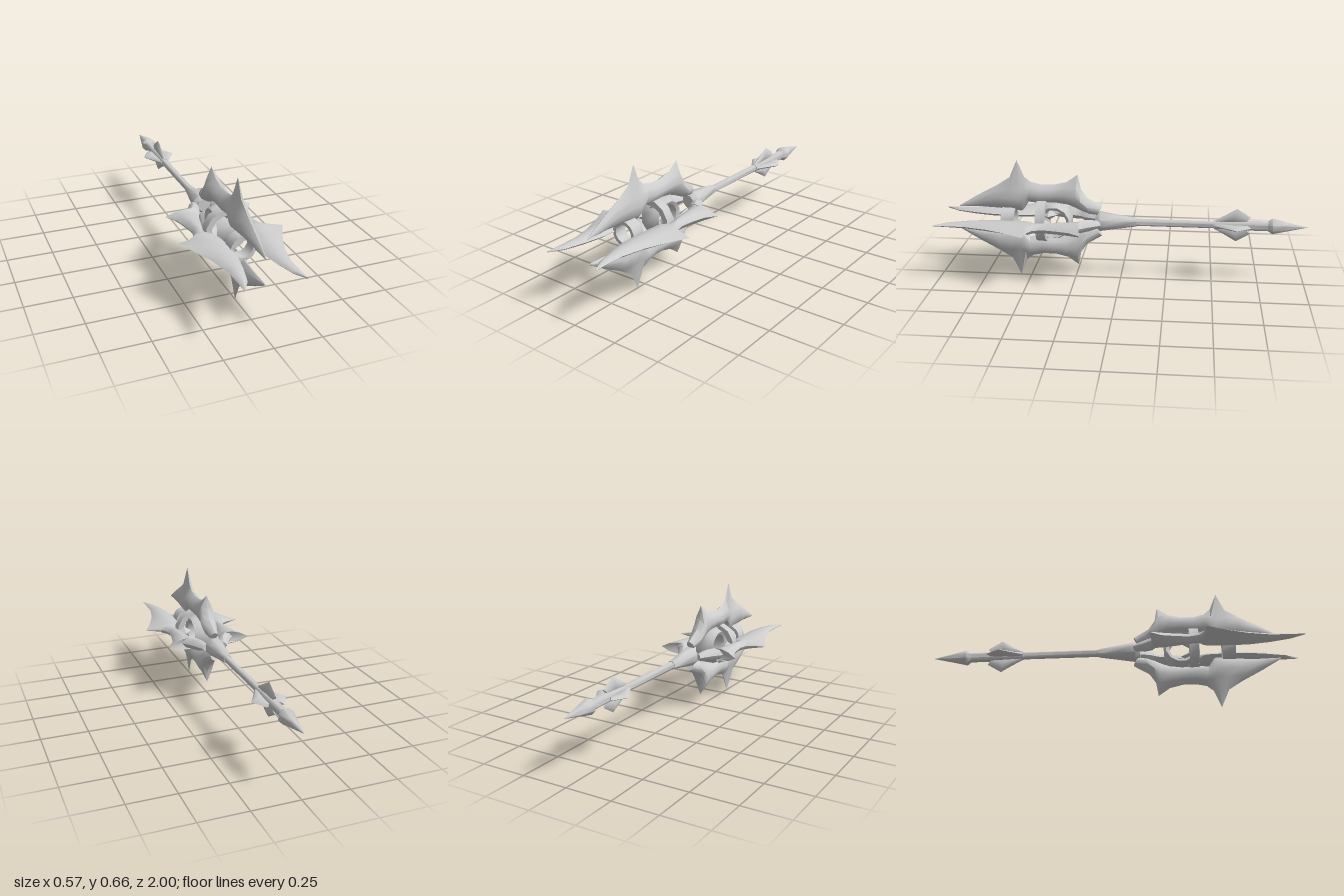
import * as THREE from 'three';
import { toCreasedNormals } from 'three/addons/utils/BufferGeometryUtils.js';

const AXIS_Y = 0.335;

// Loft of rounded sections; each station is [zOuter, rOuter, zInner, rInner, halfWidth].
function bladeGeometry(stations) {
  const pos = [], idx = [], n = 8;
  for (const [zo, ro, zi, ri, w] of stations) {
    const body = Math.min(ro - ri, 0.15);
    const side = [[0, ro], [w * 0.72, ri + body * 0.8], [w, ri + body * 0.5], [w * 0.75, ri + body * 0.2], [0, ri]];
    const loop = [...side, ...side.slice(1, 4).reverse().map(([x, r]) => [-x, r])];
    for (const [x, r] of loop) {
      const t = (r - ri) / (ro - ri);
      pos.push(x, r, zi + (zo - zi) * t);
    }
  }
  const last = (stations.length - 1) * n;
  for (let s = 0; s < last; s += n) {
    for (let j = 0; j < n; j++) {
      const k = (j + 1) % n;
      idx.push(s + j, s + k, s + n + j, s + k, s + n + k, s + n + j);
    }
  }
  for (let j = 1; j < n - 1; j++) idx.push(0, j + 1, j, last, last + j, last + j + 1);
  const g = new THREE.BufferGeometry();
  g.setAttribute('position', new THREE.Float32BufferAttribute(pos, 3));
  g.setIndex(idx);
  return toCreasedNormals(g, 0.8);
}

// Turned solid along +z from [radius, z] pairs in rising z.
function turned(profile, sides) {
  const g = new THREE.LatheGeometry(profile.map(([r, z]) => new THREE.Vector2(r, z)), sides, Math.PI / sides);
  g.rotateX(Math.PI / 2);
  return toCreasedNormals(g, 0.8);
}

const uprightBlade = [
  [0.885, 0.067, 0.88, 0.062, 0.003],
  [0.78, 0.13, 0.76, 0.065, 0.02],
  [0.67, 0.19, 0.66, 0.06, 0.033],
  [0.6, 0.235, 0.6, 0.053, 0.037],
  [0.557, 0.332, 0.54, 0.047, 0.037],
  [0.52, 0.24, 0.525, 0.06, 0.038],
  [0.485, 0.212, 0.5, 0.1, 0.038],
  [0.43, 0.2, 0.43, 0.092, 0.039],
  [0.36, 0.2, 0.36, 0.1, 0.041],
  [0.29, 0.217, 0.29, 0.09, 0.043],
  [0.23, 0.26, 0.25, 0.075, 0.044],
  [0.218, 0.185, 0.21, 0.055, 0.044],
  [0.185, 0.135, 0.17, 0.04, 0.04],
  [0.1, 0.083, 0.13, 0.035, 0.022],
];

const sideBlade = [
  [0.998, 0.154, 0.99, 0.148, 0.003],
  [0.92, 0.154, 0.925, 0.108, 0.011],
  [0.82, 0.157, 0.82, 0.08, 0.018],
  [0.7, 0.186, 0.71, 0.058, 0.024],
  [0.58, 0.235, 0.6, 0.056, 0.026],
  [0.487, 0.284, 0.5, 0.062, 0.027],
  [0.473, 0.215, 0.475, 0.075, 0.028],
  [0.452, 0.182, 0.45, 0.115, 0.028],
  [0.4, 0.168, 0.4, 0.11, 0.028],
  [0.33, 0.178, 0.33, 0.094, 0.032],
  [0.255, 0.196, 0.265, 0.08, 0.035],
  [0.195, 0.238, 0.225, 0.068, 0.035],
  [0.222, 0.15, 0.2, 0.05, 0.035],
  [0.17, 0.11, 0.16, 0.038, 0.033],
  [0.1, 0.072, 0.13, 0.03, 0.02],
];

export function createModel() {
  const metal = new THREE.MeshStandardMaterial({ color: 0xcccccc });
  metal.name = 'light grey metal';
  const model = new THREE.Group();
  model.name = 'mace';

  const add = (name, geometry, turn = 0) => {
    const mesh = new THREE.Mesh(geometry, metal);
    mesh.name = name;
    mesh.position.y = AXIS_Y;
    mesh.rotation.z = turn;
    model.add(mesh);
  };

  // Shaft with thicker tail, flared collar and pointed pommel
  add('shaft', turned([[0, -0.52], [0.0195, -0.52], [0.0195, -0.06], [0, -0.06]], 8));
  add('tailSleeve', turned([[0, -0.82], [0.026, -0.82], [0.026, -0.69], [0.022, -0.5], [0, -0.5]], 8));
  add('collar', turned([[0, -0.088], [0.023, -0.088], [0.038, 0.01], [0.054, 0.11], [0.035, 0.135], [0, 0.135]], 8));
  add('pommel', turned([[0, -1], [0.022, -0.9], [0.042, -0.812], [0.026, -0.79], [0, -0.79]], 8));

  // Small front ring and wider cage ring around the long axis
  const ring = (rIn, rOut, z0, z1) =>
    turned([[rIn, z0], [rOut, z0], [rOut, z1], [rIn, z1], [rIn, z0]], 12);
  add('frontRing', ring(0.05, 0.068, 0.575, 0.645));
  add('cageRing', ring(0.087, 0.118, 0.4, 0.45));

  // Rounded hoop turned around the crosswise axis
  const hoop = turned([[0.07, -0.045], [0.087, -0.055], [0.1, -0.025], [0.1, 0.025], [0.087, 0.055], [0.07, 0.045], [0.07, -0.045]], 12);
  hoop.rotateY(Math.PI / 2);
  hoop.translate(0, 0, 0.36);
  add('cageHoop', hoop);

  // Four blades with inner studs, and four tail fins
  const upright = bladeGeometry(uprightBlade);
  const side = bladeGeometry(sideBlade);
  const stud = new THREE.OctahedronGeometry(1);
  stud.scale(0.03, 0.046, 0.05);
  stud.translate(0, 0.08, 0.405);
  const fin = bladeGeometry([
    [-0.5, 0.022, -0.5, 0.008, 0.008],
    [-0.56, 0.055, -0.55, 0.008, 0.012],
    [-0.622, 0.092, -0.6, 0.008, 0.012],
    [-0.697, 0.046, -0.66, 0.008, 0.008],
  ]);
  for (let i = 0; i < 4; i++) {
    const turn = -i * Math.PI / 2;
    add(i % 2 ? 'sideBlade' : 'uprightBlade', i % 2 ? side : upright, turn);
    add('innerStud', stud, turn);
    add('tailFin', fin, turn);
  }
  return model;
}
